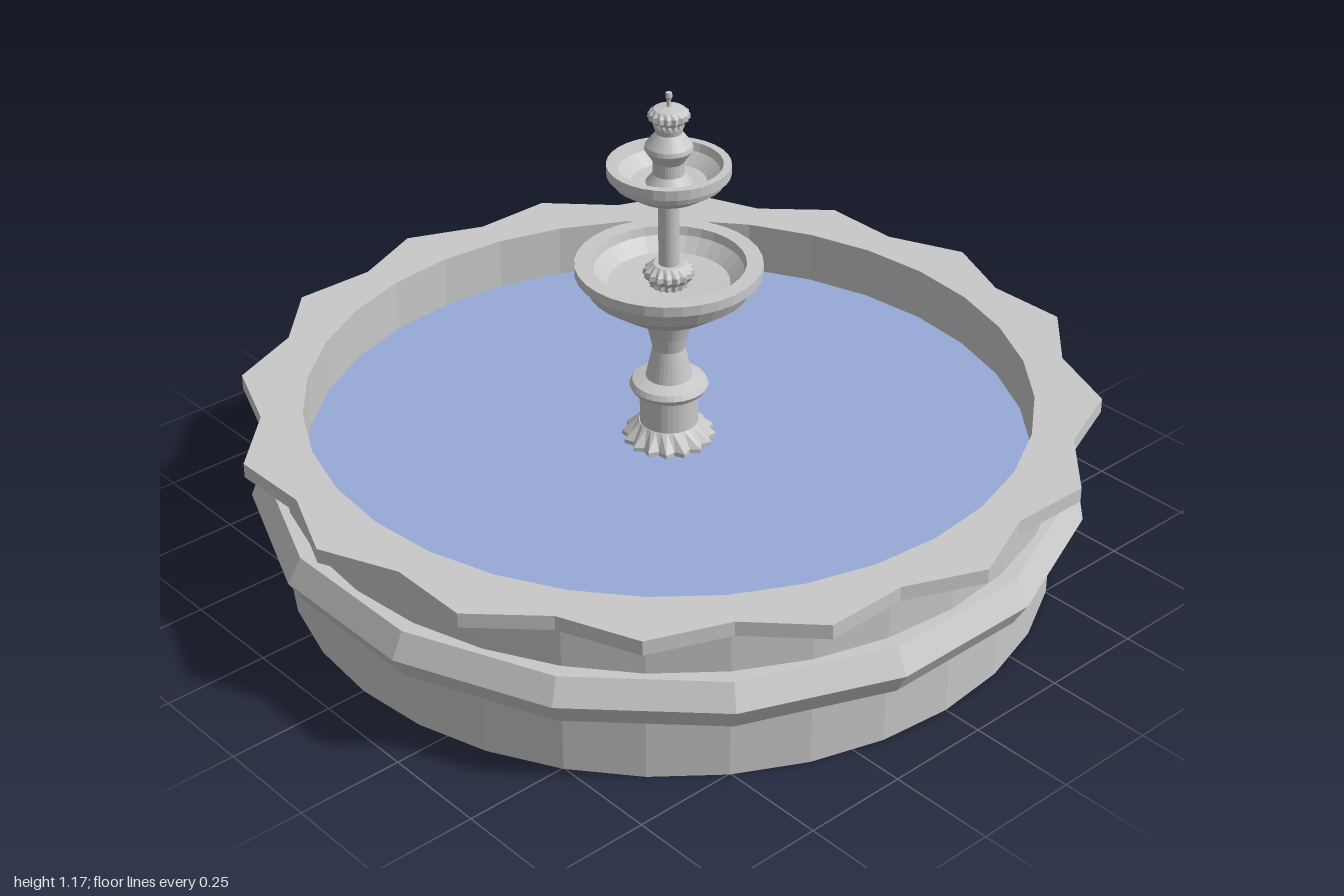
import * as THREE from 'three';

const SIDES = 32;
const stone = new THREE.MeshStandardMaterial({ color: 0xc8c8c8 });
stone.name = 'stone';
const water = new THREE.MeshStandardMaterial({ color: 0x97a9d6 });
water.name = 'water';

// Faceted normals
function facet(geometry) {
  const flat = geometry.index ? geometry.toNonIndexed() : geometry;
  flat.computeVertexNormals();
  return flat;
}

// Turned part; with flute < 1 every second spoke beyond minRadius is pulled in
function turned(name, profile, material = stone, flute = 1, minRadius = 0) {
  const points = profile.map(([r, y]) => new THREE.Vector2(r, y));
  const geometry = new THREE.LatheGeometry(points, SIDES);
  const p = geometry.attributes.position;
  for (let i = 0; i < p.count; i++) {
    const spoke = Math.floor(i / points.length);
    if (spoke % 2 && Math.hypot(p.getX(i), p.getZ(i)) > minRadius) {
      p.setX(i, p.getX(i) * flute);
      p.setZ(i, p.getZ(i) * flute);
    }
  }
  const mesh = new THREE.Mesh(facet(geometry), material);
  mesh.name = name;
  return mesh;
}

export function createModel() {
  const fountain = new THREE.Group();
  fountain.name = 'fountain';

  // Basin with its floor, outer wall and inner wall
  fountain.add(turned('basinWall', [
    [0, 0], [0.905, 0], [0.905, 0.4], [0.845, 0.4], [0.845, 0.28],
  ]));

  // Sixteen-pointed coping on top of the wall
  fountain.add(turned('basinRim', [
    [0.845, 0.385], [1, 0.385], [1, 0.42], [0.845, 0.42], [0.845, 0.385],
  ], stone, 0.94, 0.9));

  // Hexagonal moulding around the wall, its corners between the rim points
  const band = new THREE.TorusGeometry(0.909, 0.066, 6, 16);
  band.rotateX(Math.PI / 2).rotateY(Math.PI / 16);
  const moulding = new THREE.Mesh(facet(band), stone);
  moulding.name = 'basinMoulding';
  moulding.position.y = 0.2125;
  fountain.add(moulding);

  fountain.add(turned('waterSurface', [[0.846, 0.29], [0, 0.29]], water));

  // Pedestal: fluted foot, drum, collar and waisted stem
  fountain.add(turned('pedestalFoot', [
    [0.11, 0.28], [0.11, 0.3], [0.07, 0.335], [0, 0.335],
  ], stone, 0.86, 0.08));
  fountain.add(turned('pedestalDrum', [[0.068, 0.32], [0.068, 0.42]]));
  fountain.add(turned('pedestalCollar', [
    [0.06, 0.41], [0.085, 0.42], [0.092, 0.433], [0.085, 0.445], [0.055, 0.455], [0, 0.455],
  ]));
  fountain.add(turned('pedestalStem', [
    [0.055, 0.45], [0.038, 0.53], [0.045, 0.565], [0.058, 0.61],
  ]));

  // Lower bowl
  fountain.add(turned('lowerBowl', [
    [0, 0.605], [0.058, 0.608], [0.115, 0.635], [0.185, 0.685], [0.203, 0.722], [0.215, 0.726],
    [0.215, 0.75], [0.177, 0.75], [0.172, 0.73], [0.14, 0.7], [0, 0.69],
  ]));

  // Column with its fluted base
  fountain.add(turned('columnBase', [
    [0.045, 0.69], [0.045, 0.705], [0.06, 0.72], [0.058, 0.732], [0.035, 0.748], [0, 0.748],
  ], stone, 0.86, 0.04));
  fountain.add(turned('column', [[0.024, 0.74], [0.024, 0.91]]));

  // Upper bowl
  fountain.add(turned('upperBowl', [
    [0, 0.9], [0.03, 0.903], [0.08, 0.925], [0.125, 0.955], [0.13, 0.97], [0.14, 0.974],
    [0.14, 0.998], [0.122, 0.998], [0.115, 0.98], [0.085, 0.955], [0, 0.95],
  ]));

  // Finial: turned neck, fluted cap and spout
  fountain.add(turned('finialNeck', [
    [0.055, 0.95], [0.036, 0.975], [0.036, 1.005], [0.055, 1.035], [0.053, 1.045],
    [0.03, 1.075], [0.034, 1.092], [0, 1.092],
  ]));
  fountain.add(turned('finialCap', [
    [0.034, 1.088], [0.036, 1.1], [0.048, 1.11], [0.047, 1.122], [0.034, 1.132], [0, 1.138],
  ], stone, 0.88, 0.035));
  fountain.add(turned('spout', [
    [0.006, 1.13], [0.005, 1.152], [0.008, 1.16], [0.007, 1.17], [0, 1.17],
  ]));

  return fountain;
}
